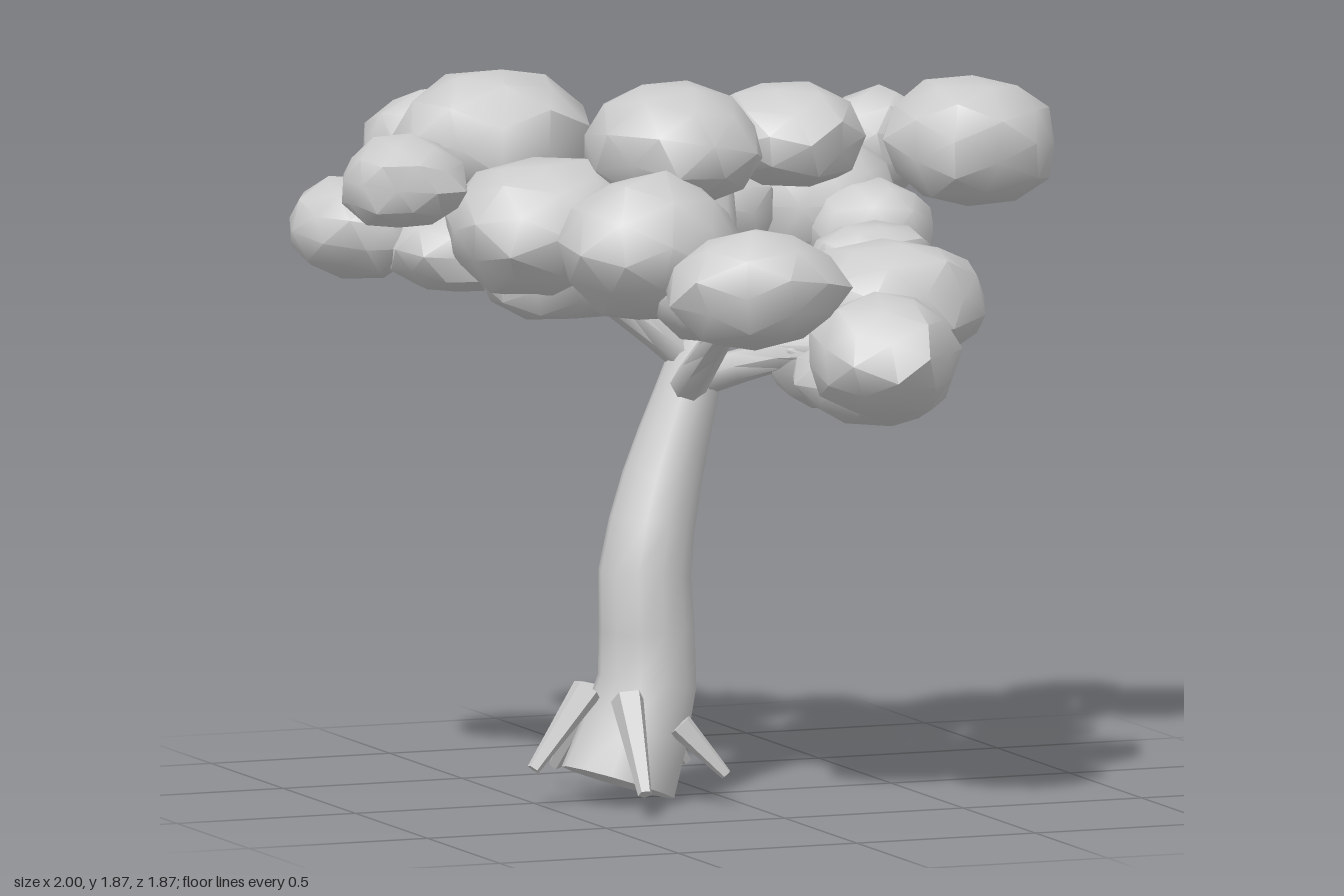
import * as THREE from 'three';
import { mergeVertices, toCreasedNormals } from 'three/addons/utils/BufferGeometryUtils.js';

const V = (p) => new THREE.Vector3(...p);

// Small seeded generator for the lumpy foliage
function seeded(seed) {
  let s = seed * 7919 + 17;
  return () => {
    s = (s * 16807) % 2147483647;
    return s / 2147483647;
  };
}

// Limb with a changing radius: a cylinder bent along a curve
function limb(points, radii, sides, rows, crease) {
  const curve = new THREE.CatmullRomCurve3(points.map(V));
  const geo = new THREE.CylinderGeometry(1, 1, 1, sides, rows);
  const pos = geo.attributes.position;
  const up = new THREE.Vector3(0, 1, 0);
  const turn = new THREE.Quaternion();
  const v = new THREE.Vector3();
  for (let i = 0; i < pos.count; i++) {
    const t = THREE.MathUtils.clamp(pos.getY(i) + 0.5, 0, 1);
    const f = t * (radii.length - 1);
    const k = Math.min(Math.floor(f), radii.length - 2);
    const r = THREE.MathUtils.lerp(radii[k], radii[k + 1], f - k);
    turn.setFromUnitVectors(up, curve.getTangent(t));
    v.set(pos.getX(i) * r, 0, pos.getZ(i) * r).applyQuaternion(turn).add(curve.getPoint(t));
    pos.setXYZ(i, v.x, v.y, v.z);
  }
  return toCreasedNormals(geo, crease);
}

// Leaf clump: a low-poly ball with uneven vertices and smooth shading
function clump(seed, rx, ry, rz) {
  const rnd = seeded(seed);
  let geo = new THREE.IcosahedronGeometry(1, 1);
  geo.deleteAttribute('normal');
  geo.deleteAttribute('uv');
  geo = mergeVertices(geo, 1e-3);
  geo.rotateX(rnd() * 6);
  geo.rotateY(rnd() * 6);
  const pos = geo.attributes.position;
  for (let i = 0; i < pos.count; i++) {
    const k = 0.96 + rnd() * 0.14;
    pos.setXYZ(i, pos.getX(i) * k * rx, pos.getY(i) * k * ry, pos.getZ(i) * k * rz);
  }
  return toCreasedNormals(geo, 0.75);
}

export function createModel() {
  const tree = new THREE.Group();
  tree.name = 'tree';
  const grey = new THREE.MeshStandardMaterial({ color: 0xcccccc });
  grey.name = 'plain grey';

  const add = (parent, name, geo) => {
    const mesh = new THREE.Mesh(geo, grey);
    mesh.name = name;
    parent.add(mesh);
    return mesh;
  };
  const group = (name) => {
    const g = new THREE.Group();
    g.name = name;
    tree.add(g);
    return g;
  };

  // Curved trunk
  add(tree, 'trunk', limb(
    [[-0.285, 0.04, 0.05], [-0.195, 0.3, 0.03], [-0.2, 0.58, 0.025], [-0.14, 0.82, -0.005], [-0.07, 1.03, -0.015], [0, 1.26, -0.02]],
    [0.153, 0.13, 0.122, 0.105, 0.085, 0.06], 12, 10, 0.9));

  // Pointed roots around the foot: thick end, thin end
  const roots = group('roots');
  [
    [[-0.37, 0.29, 0.05], [-0.53, 0.09, 0.07], 0.042],
    [[-0.31, 0.28, 0.18], [-0.33, 0.05, 0.35], 0.045],
    [[-0.16, 0.2, 0.17], [-0.05, 0.07, 0.22], 0.036],
    [[-0.15, 0.2, -0.02], [-0.05, 0.07, -0.06], 0.036],
    [[-0.3, 0.26, -0.09], [-0.34, 0.05, -0.25], 0.042],
  ].forEach(([top, tip, r]) => add(roots, 'root', limb([top, tip], [r, r * 0.42], 5, 1, 0.3)));

  // Branches fanning out inside the crown
  const branches = group('branches');
  [
    [[-0.04, 1.08, 0], [0.12, 1.16, 0.2], [0.25, 1.2, 0.5]],
    [[-0.08, 1.06, 0.02], [-0.1, 1.2, 0.25], [-0.13, 1.36, 0.55]],
    [[-0.04, 1.12, -0.02], [-0.25, 1.28, -0.03], [-0.5, 1.42, -0.05]],
    [[0, 1.2, -0.02], [-0.2, 1.38, -0.2], [-0.42, 1.58, -0.38]],
    [[0, 1.18, -0.02], [0.2, 1.32, -0.16], [0.45, 1.48, -0.32]],
    [[0, 1.22, -0.02], [0.03, 1.4, 0], [0.02, 1.6, 0.02]],
  ].forEach((p) => add(branches, 'branch', limb(p, [0.05, 0.04, 0.028], 7, 4, 0.9)));

  // Leaf clumps: x, y, z, then radii
  const crown = group('crown');
  [
    // back right
    [-0.47, 1.62, -0.74, 0.2, 0.15, 0.19],
    [-0.82, 1.46, -0.44, 0.18, 0.13, 0.2],
    [-0.82, 1.62, -0.11, 0.165, 0.12, 0.17],
    [-0.45, 1.67, -0.39, 0.25, 0.19, 0.24],
    [-0.28, 1.6, -0.52, 0.16, 0.14, 0.2],
    [-0.6, 1.42, -0.25, 0.2, 0.12, 0.18],
    // right and front right
    [-0.47, 1.5, -0.02, 0.25, 0.18, 0.22],
    [-0.4, 1.36, -0.08, 0.2, 0.12, 0.18],
    [-0.27, 1.47, 0.25, 0.24, 0.19, 0.22],
    [-0.13, 1.4, 0.62, 0.24, 0.16, 0.21],
    [-0.14, 1.35, 0.36, 0.18, 0.12, 0.18],
    // front left
    [0.32, 1.32, 0.45, 0.25, 0.165, 0.22],
    [0.18, 1.22, 0.74, 0.195, 0.16, 0.19],
    [0.25, 1.13, 0.5, 0.2, 0.125, 0.22],
    [0.28, 1.14, 0.17, 0.19, 0.13, 0.21],
    [0.4, 1.37, 0.1, 0.17, 0.11, 0.15],
    // top
    [0.22, 1.7, -0.04, 0.2, 0.14, 0.22],
    [-0.13, 1.7, 0.05, 0.23, 0.165, 0.26],
    [-0.02, 1.57, -0.22, 0.13, 0.13, 0.14],
    [-0.05, 1.58, -0.42, 0.13, 0.13, 0.16],
    [0.12, 1.48, -0.3, 0.17, 0.14, 0.17],
    // back left
    [0.42, 1.48, -0.33, 0.22, 0.18, 0.21],
    [0.62, 1.61, -0.42, 0.15, 0.14, 0.14],
    [0.5, 1.42, -0.16, 0.17, 0.14, 0.16],
    [0.77, 1.645, -0.12, 0.225, 0.17, 0.23],
  ].forEach(([x, y, z, rx, ry, rz], i) =>
    add(crown, 'leafClump', clump(i + 1, rx, ry, rz)).position.set(x, y, z));

  return tree;
}
